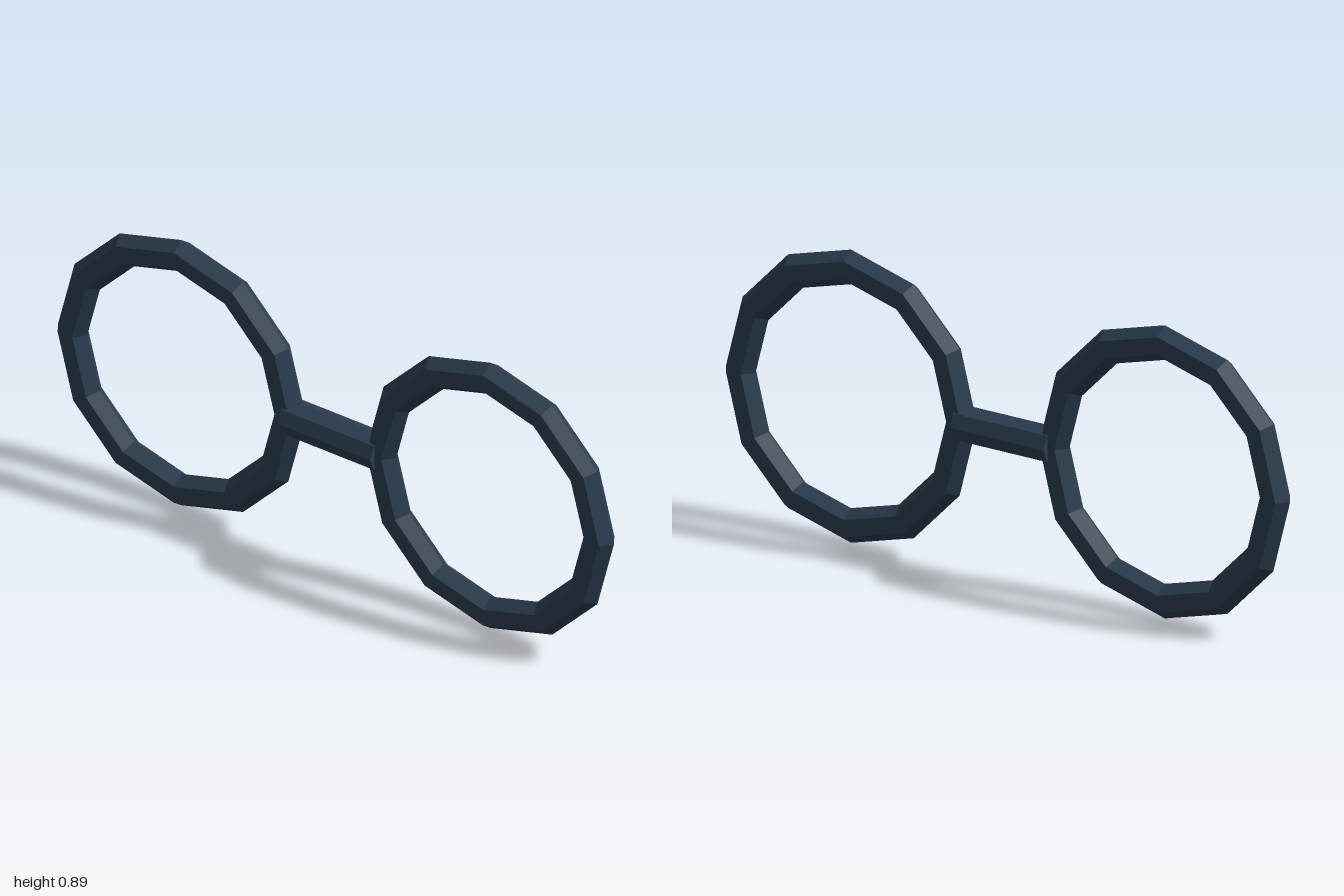
import * as THREE from 'three';

export function createModel() {
  const model = new THREE.Group();
  model.name = 'spectacles';

  const frame = new THREE.MeshStandardMaterial({ color: 0x2c3e50, flatShading: true });
  frame.name = 'dark slate frame';

  const centreY = 0.4445;

  // Two twelve-sided rims with a six-sided section, slightly flattened in depth
  const rimGeometry = new THREE.TorusGeometry(0.3915, 0.0525, 6, 12);
  rimGeometry.scale(1, 1, 0.8);
  for (const [name, side] of [['leftRim', 1], ['rightRim', -1]]) {
    const rim = new THREE.Mesh(rimGeometry, frame);
    rim.name = name;
    rim.position.set(side * 0.556, centreY, 0);
    model.add(rim);
  }

  // Eight-sided nose bridge, lying along x
  const bridgeGeometry = new THREE.CylinderGeometry(0.056, 0.056, 0.332, 8);
  bridgeGeometry.rotateZ(Math.PI / 2);
  const bridge = new THREE.Mesh(bridgeGeometry, frame);
  bridge.name = 'bridge';
  bridge.position.y = centreY;
  model.add(bridge);

  return model;
}
